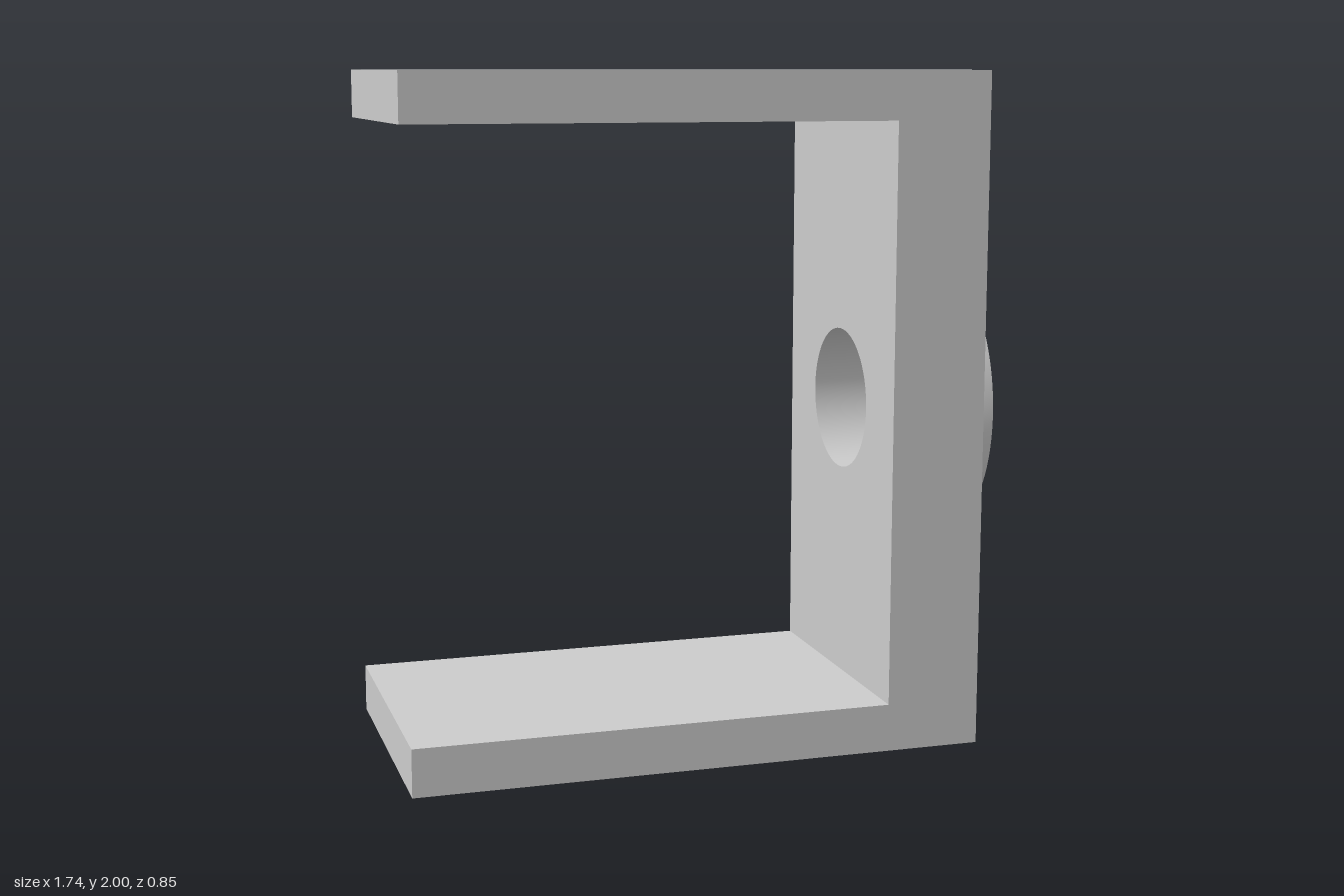
import * as THREE from 'three';
import { toCreasedNormals } from 'three/addons/utils/BufferGeometryUtils.js';

const DEPTH = 0.854, HEIGHT = 2, ARM = 0.142;
const X_OPEN = -0.87, X_INNER = 0.555, X_OUTER = 0.84, X_BOSS = 0.87;
const BORE = 0.215, BOSS_RADIUS = DEPTH / 2;

const material = new THREE.MeshStandardMaterial({ color: 0xcccccc });

// Extrudes an outline with the central bore along x, from x0 to x1
function boredPlate(name, shape, x0, x1) {
  const bore = new THREE.Path();
  bore.absarc(0, HEIGHT / 2, BORE, 0, Math.PI * 2, true);
  shape.holes.push(bore);
  const geometry = new THREE.ExtrudeGeometry(shape, {
    depth: x1 - x0, bevelEnabled: false, curveSegments: 48,
  });
  geometry.rotateY(Math.PI / 2).translate(x0, 0, 0);
  const mesh = new THREE.Mesh(toCreasedNormals(geometry, 0.5), material);
  mesh.name = name;
  return mesh;
}

export function createModel() {
  const group = new THREE.Group();
  group.name = 'uBracket';

  // Thick upright web with the through hole
  const half = DEPTH / 2;
  const outline = new THREE.Shape([
    new THREE.Vector2(-half, 0), new THREE.Vector2(half, 0),
    new THREE.Vector2(half, HEIGHT), new THREE.Vector2(-half, HEIGHT),
  ]);
  group.add(boredPlate('web', outline, X_INNER, X_OUTER));

  // Thin raised ring around the hole on the outer face
  const disc = new THREE.Shape();
  disc.absarc(0, HEIGHT / 2, BOSS_RADIUS, 0, Math.PI * 2, false);
  group.add(boredPlate('bossRing', disc, X_OUTER, X_BOSS));

  // Upper and lower arms
  const length = X_INNER - X_OPEN;
  for (const [name, y] of [['lowerArm', ARM / 2], ['upperArm', HEIGHT - ARM / 2]]) {
    const arm = new THREE.Mesh(new THREE.BoxGeometry(length, ARM, DEPTH), material);
    arm.position.set(X_OPEN + length / 2, y, 0);
    arm.name = name;
    group.add(arm);
  }

  return group;
}
